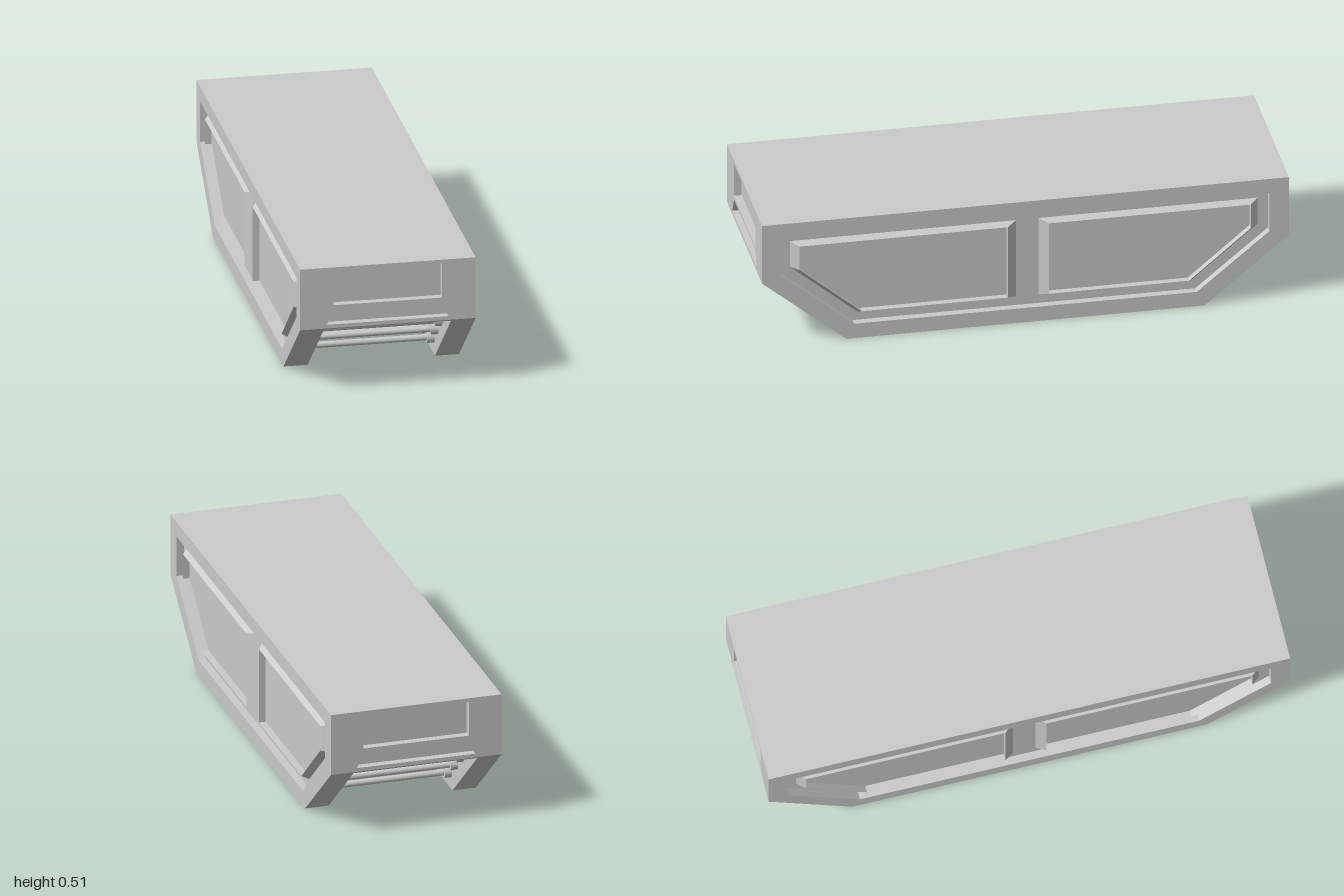
import * as THREE from 'three';

const grey = new THREE.MeshStandardMaterial({ color: 0xcccccc, flatShading: true });
const smoothGrey = new THREE.MeshStandardMaterial({ color: 0xcccccc });

function add(parent, name, geometry, material = grey) {
  const mesh = new THREE.Mesh(geometry, material);
  mesh.name = name;
  parent.add(mesh);
  return mesh;
}

const toShape = pts => new THREE.Shape(pts.map(p => new THREE.Vector2(...p)));

// Right half of an outline, completed by its mirror image
const mirrored = half => [...half, ...half.map(([u, v]) => [-u, v]).reverse()];

// Flat plate with optional holes, from depth w0 to w1
function plate(outline, w0, w1, holes = []) {
  const shape = toShape(outline);
  shape.holes = holes.map(toShape);
  const geo = new THREE.ExtrudeGeometry(shape, { depth: w1 - w0, bevelEnabled: false });
  return geo.translate(0, 0, w0);
}

// Raised rim: bevel rising from the outer to the inner outline, then a straight drop inside
function rim(outer, inner, w0, w1) {
  if (THREE.ShapeUtils.isClockWise(toShape(outer).getPoints())) {
    outer = [...outer].reverse();
    inner = [...inner].reverse();
  }
  const rings = [[outer, w0], [inner, w1], [inner, w0]].map(([pts, w]) => pts.map(p => [...p, w]));
  const pos = [];
  const n = outer.length;
  for (let r = 0; r < 2; r++) {
    for (let i = 0; i < n; i++) {
      const j = (i + 1) % n;
      const [a, b, c, d] = [rings[r][i], rings[r][j], rings[r + 1][j], rings[r + 1][i]];
      pos.push(...a, ...b, ...c, ...a, ...c, ...d);
    }
  }
  const geo = new THREE.BufferGeometry();
  geo.setAttribute('position', new THREE.Float32BufferAttribute(pos, 3));
  geo.computeVertexNormals();
  return geo;
}

const HALF_W = 0.333, INNER_W = 0.2415, TOP = 0.507, EDGE = 0.265;
const RECESS = 0.03;

export function createModel() {
  const root = new THREE.Group();
  root.name = 'rollerTrackUnit';

  // Central block with sloped ceiling above the rollers
  const core = mirrored([[0.73, 0.17], [0.86, 0.28], [0.96, 0.28], [0.96, EDGE], [1 - RECESS, EDGE], [1 - RECESS, TOP]]);
  add(root, 'centralBlock', plate(core, -INNER_W, INNER_W).rotateY(Math.PI / 2));

  // Side walls: solid slab, recessed frame and two raised panel rims each
  const wall = mirrored([[0.68, 0], [1, EDGE], [1, TOP]]);
  const wallRecess = mirrored([[0.65, 0.06], [0.926, 0.288], [0.926, 0.449]]);
  for (const s of [1, -1]) {
    const side = new THREE.Group();
    side.name = s > 0 ? 'leftSide' : 'rightSide';
    side.rotation.y = s * Math.PI / 2;
    root.add(side);
    add(side, 'sideSlab', plate(wall, INNER_W, HALF_W - RECESS));
    add(side, 'sideFrame', plate(wall, HALF_W - RECESS, HALF_W, [wallRecess]));

    for (const [dir, near] of [[1, 0.03], [-1, 0.055]]) {
      const outer = [[0.887, 0.417], [0.887, 0.308], [0.633, 0.095], [near, 0.095], [near, 0.417]];
      const inner = [[0.856, 0.404], [0.856, 0.305], [0.622, 0.108], [near + 0.036, 0.108], [near + 0.036, 0.404]];
      const place = ([z, y]) => [-s * dir * z, y];
      add(side, dir > 0 ? 'frontPanelRim' : 'rearPanelRim',
        rim(outer.map(place), inner.map(place), HALF_W - RECESS, HALF_W - 0.004));
    }
  }

  // End frames with a rectangular and a trapezoid recess, and a slanted lip below
  const endOutline = mirrored([[INNER_W, EDGE], [INNER_W, TOP]]);
  const endHoles = [
    mirrored([[0.2055, 0.356], [0.2055, 0.493]]),
    mirrored([[0.231, 0.28], [0.2, 0.343]]),
  ];
  const lip = [[-0.96, 0.257], [-0.99, 0.257], [-1, EDGE], [-0.96, EDGE]];
  for (const s of [1, -1]) {
    const end = new THREE.Group();
    end.name = s > 0 ? 'frontEnd' : 'rearEnd';
    end.rotation.y = s > 0 ? 0 : Math.PI;
    root.add(end);
    add(end, 'endFrame', plate(endOutline, 1 - RECESS, 1, endHoles));
    add(end, 'endLip', plate(lip, -INNER_W, INNER_W).rotateY(Math.PI / 2));
  }

  // Rollers: a level row underneath and three climbing each slope
  const axles = [];
  for (let i = 0; i < 14; i++) axles.push([-0.655 + i * 1.31 / 13, 0.067]);
  for (const s of [1, -1]) {
    for (let i = 1; i < 4; i++) axles.push([s * (0.655 + i * 0.0745), 0.067 + i * 0.0615]);
  }
  const rod = new THREE.CylinderGeometry(0.012, 0.012, 2 * INNER_W, 20).rotateZ(Math.PI / 2);
  const cap = new THREE.CylinderGeometry(0.022, 0.022, 0.028, 24).rotateZ(Math.PI / 2);
  for (const [z, y] of axles) {
    const roller = new THREE.Group();
    roller.name = 'roller';
    roller.position.set(0, y, z);
    root.add(roller);
    add(roller, 'rollerRod', rod, smoothGrey);
    for (const s of [1, -1]) {
      add(roller, 'rollerCap', cap, smoothGrey).position.x = s * (INNER_W - 0.014);
    }
  }
  return root;
}
